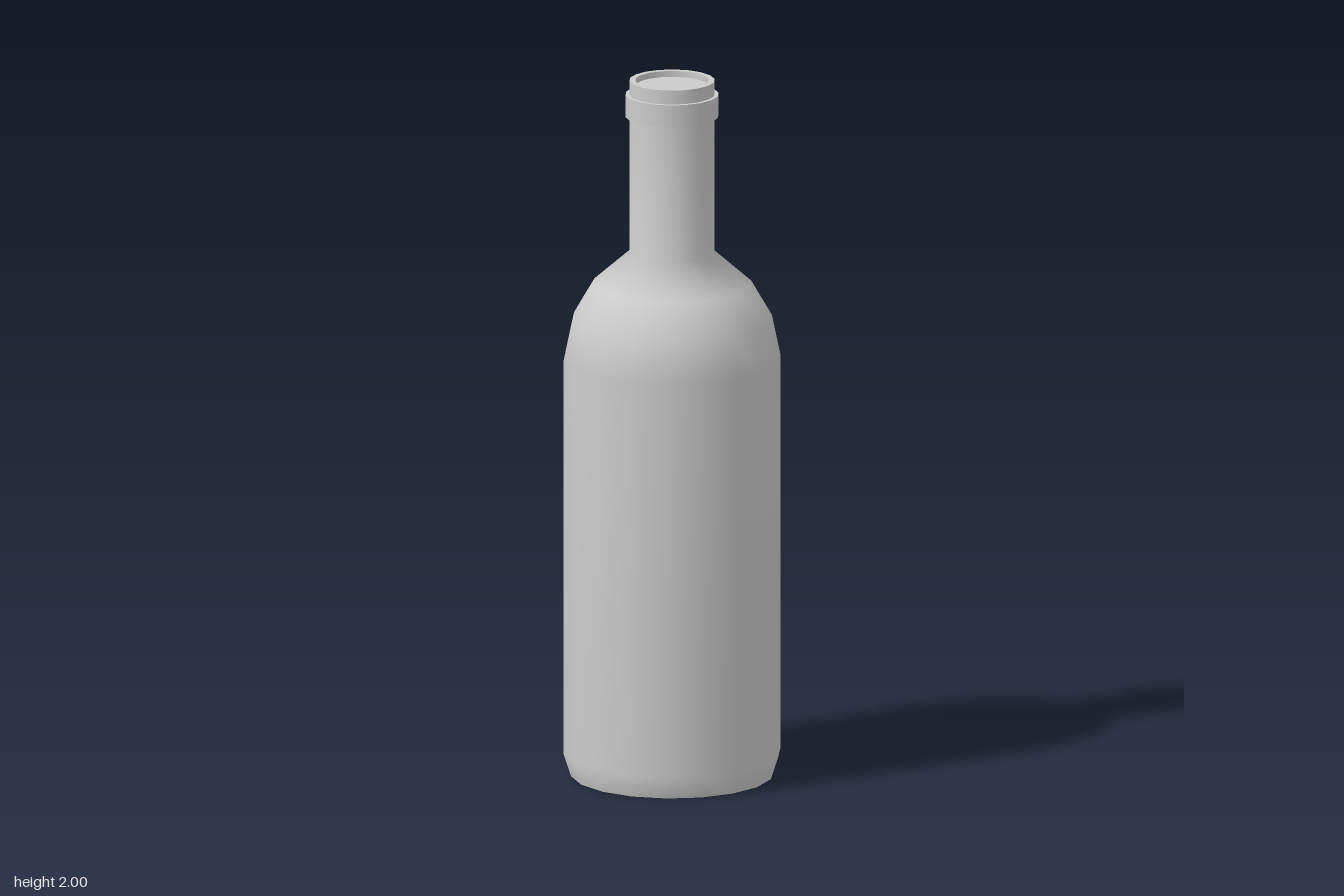
import * as THREE from 'three';

const SIDES = 18;

export function createModel() {
  const bottle = new THREE.Group();
  bottle.name = 'bottle';
  const material = new THREE.MeshStandardMaterial({ color: 0xcccccc });

  // Each strip of [radius, height] points is smooth; separate strips meet in sharp edges.
  function turned(name, strips) {
    const part = new THREE.Group();
    part.name = name;
    strips.forEach((strip, i) => {
      const points = strip.map(([r, y]) => new THREE.Vector2(r, y));
      const mesh = new THREE.Mesh(new THREE.LatheGeometry(points, SIDES, Math.PI / 2), material);
      mesh.name = `${name}Surface${i + 1}`;
      part.add(mesh);
    });
    bottle.add(part);
  }

  // Flat base
  turned('base', [[[0, 0], [0.284, 0]]]);

  // Chamfered foot, straight wall, rounded shoulder and neck
  turned('body', [[
    [0.284, 0], [0.305, 0.065], [0.305, 1.2], [0.281, 1.315],
    [0.223, 1.415], [0.12, 1.505], [0.12, 2],
  ]]);

  // Raised band below the mouth
  turned('collar', [
    [[0.12, 1.897], [0.131, 1.897]],
    [[0.131, 1.897], [0.131, 1.96]],
    [[0.131, 1.96], [0.12, 1.96]],
  ]);

  // Rim with a shallow recess closed by a flat stopper
  turned('mouth', [
    [[0.12, 2], [0.103, 2]],
    [[0.103, 2], [0.103, 1.983]],
    [[0.103, 1.983], [0, 1.983]],
  ]);

  return bottle;
}
